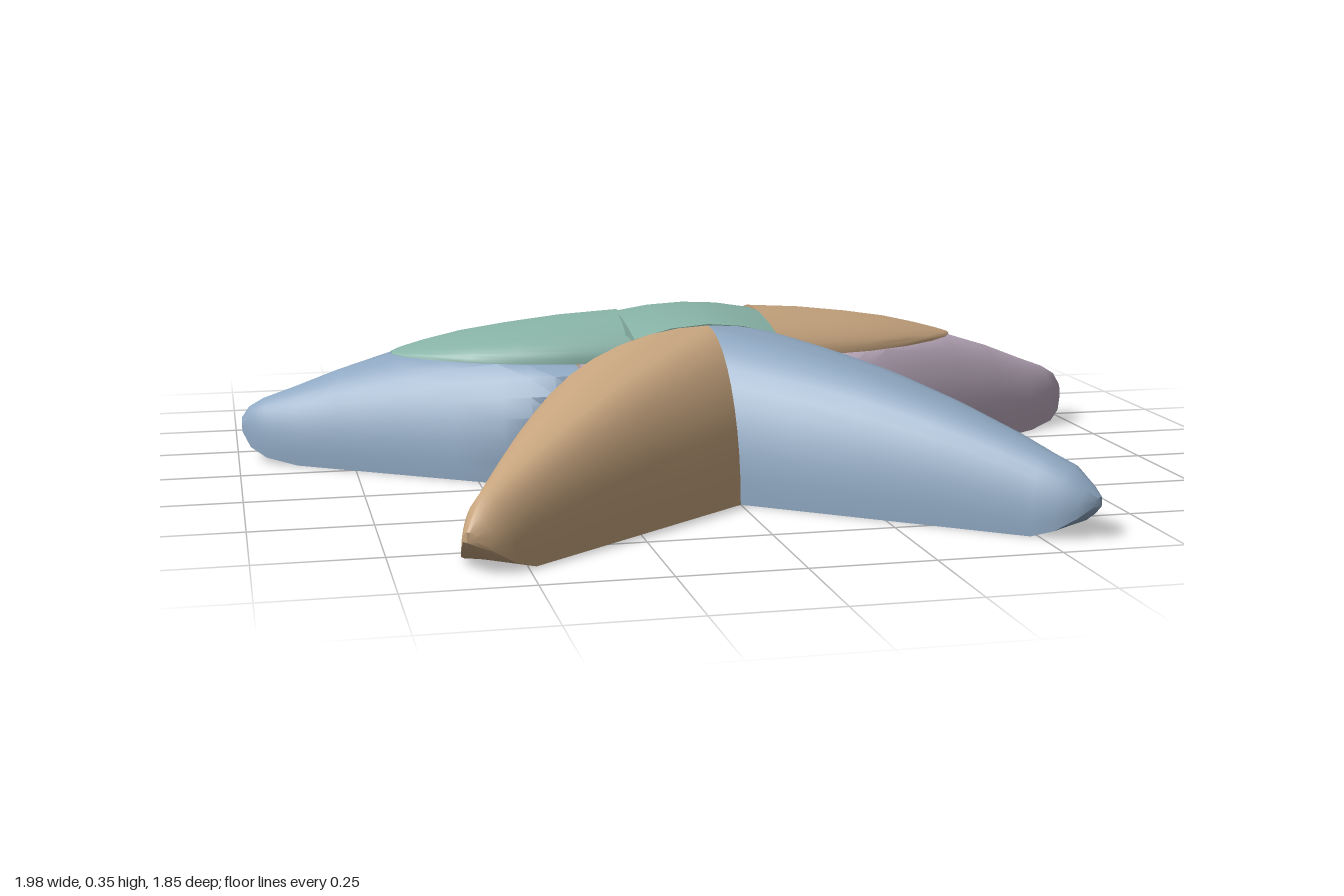
import * as THREE from 'three';
import { toCreasedNormals } from 'three/addons/utils/BufferGeometryUtils.js';

const colour = (name, hex) => {
  const m = new THREE.MeshStandardMaterial({ color: hex });
  m.name = name;
  return m;
};

// Joins equal rings of points into a closed solid; the last point of each ring is the cap centre
function loft(rings) {
  const n = rings[0].length, pos = rings.flat(2), index = [];
  for (let i = 0; i < rings.length - 1; i++) {
    for (let j = 0; j < n; j++) {
      const k = (j + 1) % n, p = i * n, q = p + n;
      index.push(p + j, q + j, p + k, p + k, q + j, q + k);
    }
  }
  const last = (rings.length - 1) * n;
  for (let j = 0; j < n - 2; j++) {
    index.push(n - 1, j, j + 1);
    index.push(last + n - 1, last + j + 1, last + j);
  }
  // Turn every face outward
  const v = (i) => new THREE.Vector3().fromArray(pos, index[i] * 3);
  let volume = 0;
  for (let i = 0; i < index.length; i += 3) volume += v(i).dot(v(i + 1).cross(v(i + 2)));
  if (volume < 0) index.reverse();
  const g = new THREE.BufferGeometry();
  g.setAttribute('position', new THREE.Float32BufferAttribute(pos, 3));
  g.setIndex(index);
  return toCreasedNormals(g, 0.6);
}

// Domed ring over floor points a, r (under the ridge) and b
function dome(a, r, b, top, floor, limit) {
  const ring = [], steps = 20;
  for (let i = 0; i <= steps; i++) {
    const t = (i / steps) * Math.PI, c = Math.cos(t), e = c > 0 ? a : b, w = Math.abs(c);
    const x = r[0] + (e[0] - r[0]) * w, z = r[1] + (e[1] - r[1]) * w;
    ring.push(limit([x, floor + (top - floor) * Math.sin(t), z]));
  }
  ring.push(limit([r[0], floor, r[1]]));
  return ring;
}

// Tapered arm; rows are [position along arm, ridge height, underside height, width factor]
function arm(base, tip, rows, limit = (p) => p) {
  return loft(rows.map(([t, top, floor = 0, width = 1]) => {
    const [a, r, b] = base.map((p, i) => p.map((v, k) => v + (tip[i][k] - v) * t));
    const narrow = (p) => p.map((v, k) => r[k] + (v - r[k]) * width);
    return dome(narrow(a), r, narrow(b), top, floor, limit);
  }));
}

export function createModel() {
  const group = new THREE.Group();
  const green = colour('sea green', 0x88b3a7);
  const blue = colour('slate blue', 0x8fa8c2);
  const tan = colour('sand', 0xc6a47e);
  const mauve = colour('mauve', 0xb9a8bb);
  const khaki = colour('pale olive', 0xb9bd95);
  const add = (name, geometry, material) => {
    const m = new THREE.Mesh(geometry, material);
    m.name = name;
    group.add(m);
  };
  const block = (name, x0, x1, y0, y1, z0, z1, material) => {
    const g = new THREE.BoxGeometry(x1 - x0, y1 - y0, z1 - z0);
    g.translate((x0 + x1) / 2, (y0 + y1) / 2, (z0 + z1) / 2);
    add(name, g, material);
  };

  // Back arm
  add('backArm', arm(
    [[-0.265, -0.31], [0, -0.31], [0.265, -0.31]],
    [[-0.065, -0.88], [0.005, -0.88], [0.06, -0.88]],
    [[0, 0.295], [0.16, 0.275], [0.34, 0.25], [0.55, 0.215], [0.75, 0.175], [0.92, 0.14, 0, 1.05],
      [1, 0.125, 0.015, 0.95], [1.07, 0.1, 0.035, 0.6], [1.1, 0.08, 0.06, 0.25]]), green);

  for (const s of [1, -1]) {
    const side = s > 0 ? 'left' : 'right';
    const flip = (pts) => pts.map(([x, z]) => [s * x, z]);

    // Front arms, meeting along the middle
    add(side + 'FrontArm', arm(
      flip([[0, 0.5], [0, 0.21], [0.43, 0.21]]),
      flip([[0.51, 0.895], [0.565, 0.85], [0.617, 0.82]]),
      [[0, 0.33], [0.2, 0.31], [0.42, 0.28], [0.65, 0.235], [0.85, 0.185], [0.95, 0.155, 0],
        [1.02, 0.135, 0.015, 0.95], [1.07, 0.1, 0.04, 0.7], [1.09, 0.08, 0.06, 0.35]]),
    s > 0 ? blue : tan);

    // Side arms, cut level on top and square at the front
    add(side + 'SideArm', arm(
      flip([[0.28, -0.305], [0.28, -0.03], [0.28, 0.32]]),
      flip([[0.94, -0.26], [0.94, -0.19], [0.94, -0.12]]),
      [[0, 0.325], [0.08, 0.32], [0.16, 0.312], [0.25, 0.3], [0.4, 0.28], [0.55, 0.247], [0.75, 0.2],
        [0.9, 0.16], [1, 0.135, 0.012], [1.05, 0.115, 0.03, 0.75], [1.075, 0.09, 0.06, 0.35]],
      ([x, y, z]) => [x, Math.min(y, 0.243), Math.min(z, 0.21)]),
    s > 0 ? mauve : blue);

    // Upper pods resting on the side arms: x, back z, ridge z, front z, top
    const pod = [
      [0.155, -0.17, -0.01, 0.145, 0.336], [0.28, -0.188, -0.03, 0.14, 0.325],
      [0.4, -0.198, -0.05, 0.115, 0.308], [0.5, -0.198, -0.07, 0.07, 0.29],
      [0.58, -0.18, -0.085, 0.015, 0.27], [0.635, -0.15, -0.1, -0.04, 0.254],
      [0.657, -0.12, -0.1, -0.08, 0.247]];
    add(side + 'UpperPod', loft(pod.map(([x, z0, zr, z1, top]) =>
      dome([s * x, z0], [s * x, zr], [s * x, z1], top, 0.243, (p) => p))), s > 0 ? tan : green);
  }

  // Central ridge strip: z, right x, left x, middle height, edge height, underside
  const strip = [
    [0.21, -0.163, 0.155, 0.333, 0.305, 0.295], [0.14, -0.163, 0.155, 0.343, 0.32, 0.3],
    [0.05, -0.163, 0.155, 0.351, 0.333, 0.29], [-0.05, -0.163, 0.155, 0.345, 0.328, 0.27],
    [-0.18, -0.155, 0.148, 0.323, 0.3, 0.25], [-0.27, -0.14, 0.135, 0.302, 0.275, 0.243],
    [-0.31, -0.13, 0.125, 0.292, 0.265, 0.243]];
  add('ridgeStrip', loft(strip.map(([z, x0, x1, mid, edge, low]) => [
    [x0, low, z], [x0, edge, z], [x0 / 2, (edge + mid * 3) / 4, z], [0, mid, z],
    [x1 / 2, (edge + mid * 3) / 4, z], [x1, edge, z], [x1, low, z], [0, low, z]])), green);

  // Core blocks
  block('core', -0.272, 0.282, 0.003, 0.242, -0.265, 0.14, tan);
  block('coreFront', -0.16, 0.16, 0.003, 0.242, 0.14, 0.21, tan);
  block('coreRightCorner', -0.272, -0.16, 0.003, 0.242, 0.14, 0.21, mauve);
  block('coreLeftCorner', 0.16, 0.25, 0.003, 0.242, 0.14, 0.21, khaki);
  block('coreLeftEdge', 0.25, 0.282, 0.003, 0.242, 0.14, 0.21, tan);
  block('frontSpacer', -0.155, 0.15, 0.242, 0.3, 0.14, 0.21, khaki);
  block('backSpacer', -0.265, 0.28, 0.003, 0.242, -0.31, -0.265, khaki);
  return group;
}
